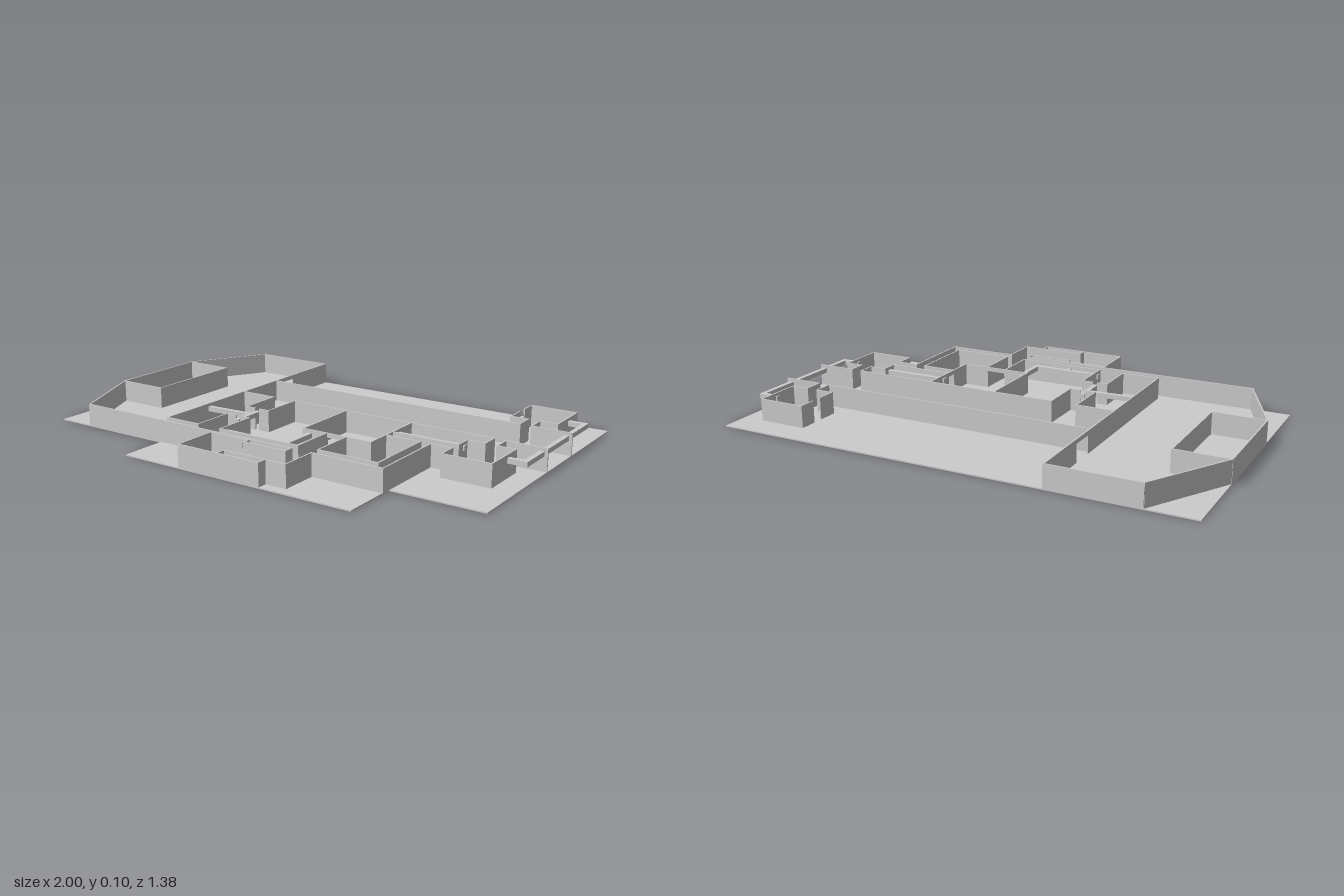
import * as THREE from 'three';

const BASE = 0.005, TOP = 0.098, THICK = 0.006, DOOR = 0.08;

export function createModel() {
  const model = new THREE.Group();
  const material = new THREE.MeshStandardMaterial({ color: 0xcccccc });

  const add = (parent, geometry, name) => {
    const mesh = new THREE.Mesh(geometry, material);
    mesh.name = name;
    parent.add(mesh);
    return mesh;
  };

  // Upright bar between two plan points, from y0 to y1
  const bar = (parent, name, x0, z0, x1, z1, y0, y1, width) => {
    const length = Math.hypot(x1 - x0, z1 - z0);
    const mesh = add(parent, new THREE.BoxGeometry(length + width, y1 - y0, width), name);
    mesh.position.set((x0 + x1) / 2, (y0 + y1) / 2, (z0 + z1) / 2);
    mesh.rotation.y = -Math.atan2(z1 - z0, x1 - x0);
  };

  // A room or passage: each path is a chain of [x, z] corners
  const walls = (name, ...paths) => {
    const group = new THREE.Group();
    group.name = name;
    model.add(group);
    for (const path of paths) {
      for (let i = 1; i < path.length; i++) {
        bar(group, 'wall', ...path[i - 1], ...path[i], BASE, TOP, THICK);
      }
    }
  };
  const lintel = (x0, z0, x1, z1) => bar(model, 'lintel', x0, z0, x1, z1, DOOR, TOP, THICK);

  const duct = (name, ...path) => {
    const group = new THREE.Group();
    group.name = name;
    model.add(group);
    for (let i = 1; i < path.length; i++) {
      bar(group, 'ductSection', ...path[i - 1], ...path[i], 0.065, 0.085, 0.02);
    }
  };

  // Floor slab with stepped front edge
  const outline = [[-1, -0.69], [1, -0.69], [1, 0.44], [0.615, 0.44], [0.615, 0.685],
    [-0.43, 0.685], [-0.43, 0.485], [-1, 0.485]];
  const floor = new THREE.Shape(outline.map(([x, z]) => new THREE.Vector2(x, -z)));
  add(model, new THREE.ExtrudeGeometry(floor, { depth: BASE, bevelEnabled: false })
    .rotateX(-Math.PI / 2), 'floor');

  // Large hall with angled corners and a bay room
  walls('mainHall',
    [[-0.43, -0.42], [-0.43, -0.687], [-0.8, -0.687], [-0.997, -0.35], [-0.997, 0.11],
      [-0.835, 0.482], [-0.02, 0.482]],
    [[-0.43, -0.31], [-0.43, 0.44]]);
  lintel(-0.43, -0.42, -0.43, -0.31);
  walls('bayRoom', [[-0.997, -0.35], [-0.775, -0.35], [-0.775, 0.11], [-0.997, 0.11]]);

  // Long corridor
  walls('longCorridor',
    [[-0.43, -0.29], [0.78, -0.29], [0.78, -0.37]],
    [[0.997, -0.29], [0.83, -0.29], [0.83, -0.37]],
    [[-0.155, -0.055], [0.78, -0.055], [0.78, 0.02]],
    [[0.997, -0.055], [0.83, -0.055], [0.83, 0.02]]);

  // Two small square rooms at the corridor end
  walls('backRoom',
    [[0.705, -0.5], [0.705, -0.57], [0.905, -0.57], [0.905, -0.37], [0.83, -0.37]],
    [[0.705, -0.45], [0.705, -0.37], [0.78, -0.37]]);
  walls('sideRoom',
    [[0.78, 0.02], [0.705, 0.02], [0.705, 0.09]],
    [[0.83, 0.02], [0.905, 0.02], [0.905, 0.22], [0.705, 0.22], [0.705, 0.14]]);

  // Short blind passages between the hall and the middle room
  walls('backPassage',
    [[-0.43, -0.055], [-0.267, -0.055], [-0.267, 0.13], [-0.225, 0.13]],
    [[-0.155, -0.055], [-0.155, 0.13], [-0.2, 0.13]]);
  walls('frontPassage',
    [[-0.43, 0.44], [-0.267, 0.44], [-0.267, 0.258], [-0.225, 0.258]],
    [[-0.155, 0.44], [-0.155, 0.258], [-0.2, 0.258]]);

  // Central room with two doorways
  walls('centralRoom',
    [[0.42, 0.09], [0.42, -0.055], [0.11, -0.055], [0.11, 0.25], [0.22, 0.25]],
    [[0.42, 0.14], [0.42, 0.25], [0.31, 0.25]]);
  lintel(0.42, 0.09, 0.42, 0.14);
  lintel(0.22, 0.25, 0.31, 0.25);

  // Passages joining the central room, side room and front hallway
  walls('sidePassage',
    [[0.42, 0.09], [0.705, 0.09]],
    [[0.42, 0.14], [0.57, 0.14], [0.57, 0.44], [0.31, 0.44], [0.31, 0.25]],
    [[0.705, 0.14], [0.615, 0.14], [0.615, 0.482], [0.31, 0.482], [0.31, 0.64], [0.22, 0.64]]);
  walls('frontHallway',
    [[0.22, 0.25], [0.22, 0.44], [-0.155, 0.44]],
    [[-0.02, 0.482], [0.22, 0.482]]);

  // Front room with an entry between two side recesses
  walls('frontRoom',
    [[0.03, 0.495], [-0.155, 0.495], [-0.155, 0.682], [0.22, 0.682], [0.22, 0.64],
      [0.03, 0.64], [0.03, 0.682]],
    [[0.03, 0.495], [0.03, 0.52], [0.22, 0.52], [0.22, 0.482]]);

  // Raised ducts
  duct('outerDuct', [0.905, -0.48], [0.977, -0.48], [0.977, 0.09], [0.905, 0.09]);
  duct('sideDuct', [0.42, 0.05], [0.705, 0.05]);
  duct('frontDuct', [0.142, 0.25], [0.142, 0.41], [-0.155, 0.41]);
  duct('frontRoomDuct', [-0.008, 0.41], [-0.008, 0.49]);
  duct('passageDuct', [-0.212, 0.13], [-0.212, 0.258]);
  duct('hallDuct', [-0.42, 0.182], [-0.212, 0.172]);

  return model;
}
